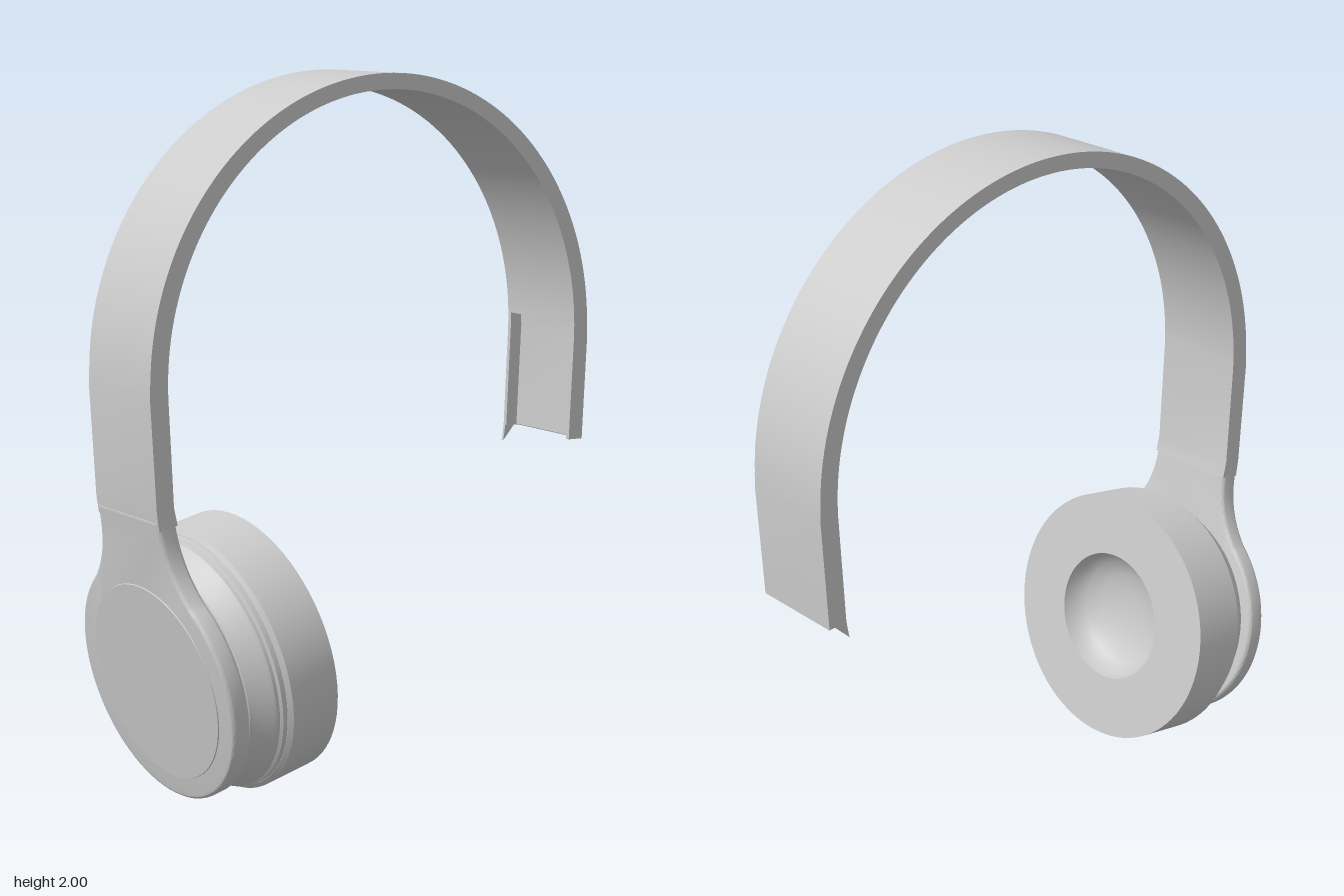
import * as THREE from 'three';
import { toCreasedNormals } from 'three/addons/utils/BufferGeometryUtils.js';

const WIDTH = 0.29;          // depth of the band along z
const TILT = 0.168;          // lean of the ear cup
const material = new THREE.MeshStandardMaterial({ color: 0xcccccc, side: THREE.DoubleSide });

function addMesh(parent, name, geometry, crease = 0.6) {
  const mesh = new THREE.Mesh(toCreasedNormals(geometry, crease), material);
  mesh.name = name;
  parent.add(mesh);
  return mesh;
}

const polygon = (points) => new THREE.Shape(points.map(([x, y]) => new THREE.Vector2(x, y)));

// side-view shape extruded along z, centred on a given z
function slab(shape, depth = WIDTH, z = 0) {
  const g = new THREE.ExtrudeGeometry(shape, { depth, bevelEnabled: false, curveSegments: 64 });
  return g.translate(0, 0, z - depth / 2);
}

// profile of [radius, position along x] turned about the x axis
function turned(profile) {
  const pts = profile.map(([r, s]) => new THREE.Vector2(r, s));
  return new THREE.LatheGeometry(pts, 72).rotateZ(-Math.PI / 2);
}

export function createModel() {
  const model = new THREE.Group();
  model.name = 'headphones';

  // arched headband
  const arch = new THREE.Shape();
  arch.absellipse(0, 1.2, 0.813, 0.8, 0.03, Math.PI - 0.03, false);
  arch.absellipse(0, 1.2, 0.757, 0.755, Math.PI - 0.03, 0.03, true);
  arch.closePath();
  addMesh(model, 'headband', slab(arch));

  // solid arm above the ear cup
  addMesh(model, 'cupArm', slab(polygon([
    [-0.813, 1.225], [-0.815, 1.18], [-0.8, 0.87], [-0.793, 0.82],
    [-0.734, 0.83], [-0.745, 0.88], [-0.757, 1.18], [-0.757, 1.225]])));

  // hollow arm on the other side, open towards the head
  const openArm = new THREE.Group();
  openArm.name = 'openArm';
  model.add(openArm);
  addMesh(openArm, 'outerWall', slab(polygon([
    [0.813, 1.225], [0.801, 1.225], [0.803, 1.18], [0.788, 0.86], [0.8, 0.855], [0.815, 1.18]])));
  for (const side of [-1, 1]) {
    addMesh(openArm, 'sideWall', slab(polygon([
      [0.811, 1.225], [0.757, 1.225], [0.757, 1.18], [0.743, 0.86], [0.797, 0.856], [0.812, 1.18]]),
      0.012, side * (WIDTH / 2 - 0.006)));
  }
  addMesh(openArm, 'brokenTip', slab(polygon([[0.743, 0.862], [0.735, 0.812], [0.782, 0.858]]),
    0.008, -WIDTH / 2 + 0.004));

  // ear cup, built along x and then leaned
  const cup = new THREE.Group();
  cup.name = 'earCup';
  cup.position.set(-0.39, 0.41, 0);
  cup.rotation.z = TILT;
  model.add(cup);

  // cushion with a bowl-shaped opening
  addMesh(cup, 'cushion', turned([
    [0, -0.16], [0.375, -0.165], [0.388, -0.155], [0.388, 0], [0.2, 0],
    [0.19, -0.035], [0.165, -0.065], [0.12, -0.088], [0.06, -0.1], [0, -0.102]]));

  // stepped housing behind the cushion
  addMesh(cup, 'housing', turned([
    [0, -0.285], [0.28, -0.285], [0.3, -0.272], [0.325, -0.255], [0.335, -0.235],
    [0.36, -0.205], [0.366, -0.195], [0.366, -0.185], [0.374, -0.18], [0.374, -0.15], [0, -0.15]]), 0.45);

  // round back plate with a neck flaring out of the arm
  const a = 0.87, r = 0.35;
  const plate = new THREE.Shape();
  plate.moveTo(-0.145, 0.5);
  plate.lineTo(0.145, 0.5);
  plate.bezierCurveTo(0.145, 0.41, 0.16, 0.345, r * Math.cos(a), r * Math.sin(a));
  plate.absarc(0, 0, r, a, Math.PI - a, true);
  plate.bezierCurveTo(-0.16, 0.345, -0.145, 0.41, -0.145, 0.5);
  const plateGeometry = new THREE.ExtrudeGeometry(plate, {
    depth: 0.034, curveSegments: 48, bevelThickness: 0.012, bevelSize: 0.01, bevelOffset: -0.01, bevelSegments: 3 });
  addMesh(cup, 'backPlate', plateGeometry.rotateY(Math.PI / 2).translate(-0.318, 0, 0));

  // flat disc set in the back plate
  addMesh(cup, 'backDisc', turned([[0, -0.333], [0.285, -0.333], [0.288, -0.325], [0, -0.325]]));

  return model;
}
